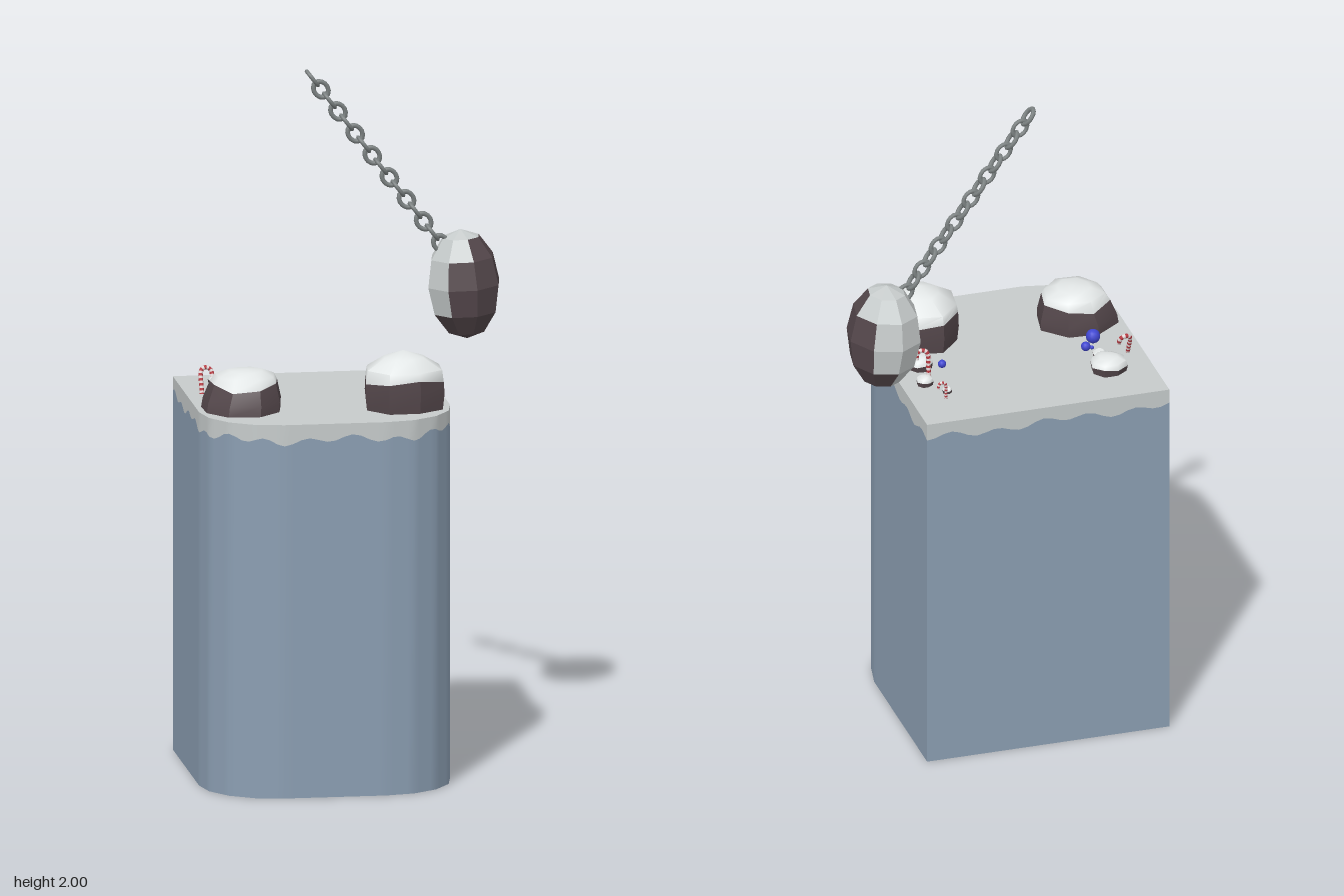
import * as THREE from 'three';
import { toCreasedNormals } from 'three/addons/utils/BufferGeometryUtils.js';

function mat(name, color, side = THREE.FrontSide) {
  const m = new THREE.MeshStandardMaterial({ color, side });
  m.name = name;
  return m;
}

function mesh(name, geometry, material) {
  const m = new THREE.Mesh(geometry, material);
  m.name = name;
  return m;
}

// Skin between stacked rings of [x, y, z] points; an optional apex closes the top.
function loft(rings, crease, apex) {
  const n = rings[0].length, index = [];
  const points = rings.flat();
  for (let r = 0; r < rings.length - 1; r++)
    for (let i = 0; i < n; i++) {
      const a = r * n + i, b = r * n + (i + 1) % n;
      index.push(a, b, b + n, a, b + n, a + n);
    }
  if (apex) {
    const base = (rings.length - 1) * n;
    for (let i = 0; i < n; i++) index.push(base + i, base + (i + 1) % n, points.length);
    points.push(apex);
  }
  const g = new THREE.BufferGeometry();
  g.setAttribute('position', new THREE.Float32BufferAttribute(points.flat(), 3));
  g.setIndex(index);
  g.computeVertexNormals();
  return toCreasedNormals(g, crease);
}

// Plan outline: square at the back, rounded corners at the front.
function pillarOutline() {
  const x0 = -0.47, x1 = 0.255, zBack = -0.35, zMid = 0.16, r = 0.215;
  const corners = [[x0, zBack]];
  for (let i = 0; i <= 4; i++) {
    const a = i * Math.PI / 8;
    corners.push([x0 + r - r * Math.cos(a), zMid + r * Math.sin(a)]);
  }
  for (let i = 4; i >= 0; i--) {
    const a = i * Math.PI / 8;
    corners.push([x1 - r + r * Math.cos(a), zMid + r * Math.sin(a)]);
  }
  corners.push([x1, zBack]);
  const fine = [];
  corners.forEach(([x, z], i) => {
    const [u, v] = corners[(i + 1) % corners.length];
    const steps = Math.ceil(Math.hypot(u - x, v - z) / 0.025);
    for (let s = 0; s < steps; s++)
      fine.push([x + (u - x) * s / steps, z + (v - z) * s / steps]);
  });
  return { corners, fine };
}

export function createModel() {
  const group = new THREE.Group();
  group.name = 'snowyPillarWithWreckingBall';
  const ice = mat('ice blue', 0x8b9eb2);
  const packedSnow = mat('packed snow', 0xc6cbcb);
  const snow = mat('fresh snow', 0xe4e8e8);
  const rock = mat('dark rock', 0x54474b);
  const iron = mat('chain iron', 0x7d8383);
  const berryBlue = mat('berry blue', 0x4046d0);
  const red = mat('candy red', 0xb83a42, THREE.DoubleSide);
  const white = mat('candy white', 0xe6dcdc, THREE.DoubleSide);

  // Pillar with a wavy snow edge
  const TOP = 1.09;
  const { corners, fine } = pillarOutline();
  const ring = (height) => fine.map(([x, z], i) => [x, height(i), z]);
  const wave = (i) => 1.043 + 0.009 * Math.sin(i * 2 * Math.PI * 21 / fine.length)
    + 0.006 * Math.sin(i * 2 * Math.PI * 8 / fine.length + 1);
  group.add(mesh('pillarWall', loft([ring(() => 0), ring(wave)], 0.6), ice));
  group.add(mesh('snowEdge', loft([ring(wave), ring(() => TOP)], 0.6), packedSnow));
  const plate = (flip) => new THREE.ShapeGeometry(
    new THREE.Shape(corners.map(([x, z]) => new THREE.Vector2(x, flip * z)))).rotateX(flip * Math.PI / 2);
  group.add(mesh('pillarBottom', plate(1), ice));
  group.add(mesh('snowTop', plate(-1).translate(0, TOP, 0), packedSnow));

  // Snow-capped boulders: profiles are [radius, height] rows relative to the centre
  function boulder(name, x, z, seed, rockRows, snowRows, peak, shift = [0, 0]) {
    const b = new THREE.Group();
    b.name = name;
    const size = rockRows[0][0];
    const seam = rockRows[rockRows.length - 1];
    const makeRing = (row) => Array.from({ length: 8 }, (_, k) => {
      const a = (k + 0.4) * Math.PI / 4;
      const r = row[0] * (1 + 0.05 * Math.sin(k * 2.4 + seed));
      const wobble = row === seam ? 0.08 * size * Math.sin(k * 1.9 + seed) : 0;
      const t = row[1] / peak;
      return [r * Math.cos(a) + shift[0] * t, row[1] + wobble, -r * Math.sin(a) + shift[1] * t];
    });
    b.add(mesh('boulderRock', loft(rockRows.map(makeRing), 0.35), rock));
    b.add(mesh('boulderSnow', loft([seam, ...snowRows].map(makeRing), 1.0, [shift[0], peak, shift[1]]), snow));
    b.position.set(x, TOP, z);
    group.add(b);
  }
  boulder('rightBoulder', -0.343, 0.14, 1, [[0.118, 0], [0.116, 0.028], [0.1, 0.072]],
    [[0.088, 0.098], [0.05, 0.113]], 0.116, [0.012, -0.01]);
  boulder('leftBoulder', 0.118, 0.17, 3, [[0.115, 0], [0.12, 0.045], [0.118, 0.085]],
    [[0.113, 0.115], [0.06, 0.147]], 0.166);
  const pebbles = [[-0.34, -0.18, 0.055, 0.045], [-0.34, -0.096, 0.02, 0.022],
    [0.17, -0.006, 0.04, 0.038], [0.188, -0.111, 0.025, 0.028], [0.141, -0.176, 0.014, 0.018]];
  pebbles.forEach(([x, z, r, h], i) => boulder('smallStone', x, z, i * 2,
    [[r * 0.92, 0], [r, h * 0.45]], [[r * 0.9, h * 0.75], [r * 0.5, h * 0.95]], h));

  // Berries
  [[-0.345, 0.024, -0.017, 0.021], [-0.31, 0.018, -0.06, 0.014],
    [-0.325, 0.018, -0.071, 0.006], [0.115, 0.02, -0.043, 0.012]].forEach(([x, y, z, r]) => {
    const b = mesh('berry', new THREE.SphereGeometry(r, 12, 8), berryBlue);
    b.position.set(x, TOP + y, z);
    group.add(b);
  });

  // Striped candy canes with a hook toward local +x
  function cane(x, z, turn, lean, scale) {
    const pts = [[0, -0.005], [0, 0.025], [0, 0.055]];
    for (let i = 1; i <= 4; i++) {
      const a = Math.PI - i * Math.PI / 4;
      pts.push([0.015 + 0.015 * Math.cos(a), 0.055 + 0.015 * Math.sin(a)]);
    }
    pts.push([0.03, 0.045]);
    const curve = new THREE.CatmullRomCurve3(pts.map(([u, v]) => new THREE.Vector3(u, v, 0)));
    const g = new THREE.TubeGeometry(curve, 18, 0.006, 8);
    for (let s = 0; s < 18; s++) g.addGroup(s * 48, 48, s % 2);
    const c = mesh('candyCane', g, [red, white]);
    c.position.set(x, TOP, z);
    c.rotation.set(lean, turn, 0, 'XYZ');
    c.scale.setScalar(scale);
    group.add(c);
  }
  cane(-0.424, -0.096, 0.1, -0.4, 1.1);
  cane(0.16, -0.06, -0.15, 0.12, 1.1);
  cane(0.156, -0.212, 0, 0, 0.75);

  // Chain of alternating links
  const start = new THREE.Vector3(-0.085, 1.973, -0.228);
  const end = new THREE.Vector3(0.29, 1.475, -0.253);
  const along = end.clone().sub(start).normalize();
  const aim = new THREE.Quaternion().setFromUnitVectors(new THREE.Vector3(1, 0, 0), along);
  const linkShape = new THREE.TorusGeometry(0.02, 0.0065, 6, 14).scale(1.25, 1, 1);
  const chain = new THREE.Group();
  chain.name = 'chain';
  const LINKS = 16;
  for (let i = 0; i < LINKS; i++) {
    const link = mesh('chainLink', linkShape, iron);
    link.position.lerpVectors(start, end, i / (LINKS - 1));
    link.quaternion.copy(aim);
    link.rotateX(i % 2 ? 0 : Math.PI / 2);
    chain.add(link);
  }
  group.add(chain);

  // Faceted wrecking ball, snowy on the faces toward the chain and back
  const shape = new THREE.SphereGeometry(1, 8, 6).scale(0.108, 0.16, 0.115)
    .rotateY(0.2).rotateZ(0.06).toNonIndexed();
  shape.computeVertexNormals();
  const snowSide = new THREE.Vector3(-0.6, 0.65, -0.45).normalize();
  const normal = new THREE.Vector3();
  for (let i = 0; i < shape.attributes.position.count; i += 3) {
    normal.fromBufferAttribute(shape.attributes.normal, i);
    shape.addGroup(i, 3, normal.dot(snowSide) > 0.08 ? 0 : 1);
  }
  const ball = mesh('wreckingBall', shape, [packedSnow, rock]);
  ball.position.set(0.358, 1.353, -0.263);
  group.add(ball);

  return group;
}
